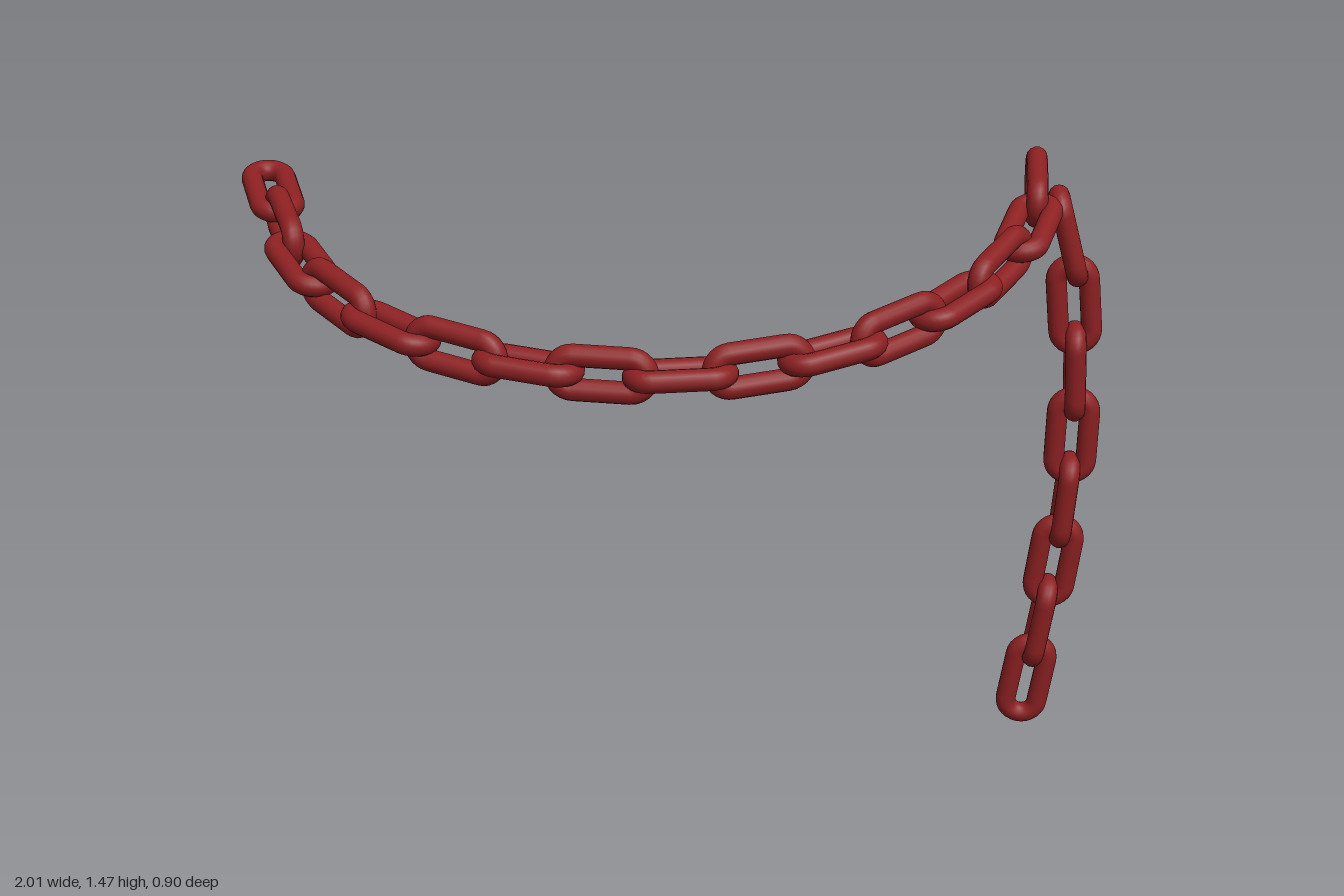
import * as THREE from 'three';

const HALF_STRAIGHT = 0.061; // half of a link's straight side
const BEND = 0.038;          // centreline radius of the rounded ends
const WIRE = 0.0245;         // wire radius

// Closed stadium outline, long axis along y, wide axis along x
class LinkCurve extends THREE.Curve {
  getPoint(t, target = new THREE.Vector3()) {
    const side = 2 * HALF_STRAIGHT, arc = Math.PI * BEND, half = side + arc;
    let d = (t % 1) * 2 * half;
    const sign = d >= half ? -1 : 1; // second half is the first turned by 180 degrees
    if (sign < 0) d -= half;
    if (d < side) return target.set(sign * BEND, sign * (d - HALF_STRAIGHT), 0);
    const a = (d - side) / BEND;
    return target.set(sign * BEND * Math.cos(a), sign * (HALF_STRAIGHT + BEND * Math.sin(a)), 0);
  }
}

// Link centres of the swept upper chain
const SWEEP = [
  [-0.93, 1.365, -0.25], [-0.875, 1.325, -0.10], [-0.81, 1.28, 0.035], [-0.71, 1.24, 0.155],
  [-0.58, 1.205, 0.25], [-0.43, 1.18, 0.32], [-0.27, 1.167, 0.366], [-0.113, 1.158, 0.388],
  [0.053, 1.158, 0.38], [0.217, 1.17, 0.35], [0.37, 1.19, 0.297], [0.51, 1.217, 0.215],
  [0.63, 1.25, 0.11], [0.73, 1.29, -0.02], [0.795, 1.34, -0.163], [0.817, 1.392, -0.315],
];

// Link centres of the hanging chain
const HANGING = [
  [0.895, 1.277, -0.317], [0.917, 1.11, -0.329], [0.928, 0.944, -0.34], [0.93, 0.78, -0.352],
  [0.922, 0.612, -0.364], [0.904, 0.449, -0.376], [0.88, 0.286, -0.387], [0.855, 0.125, -0.401],
];

// Lays links along the centres, each turned 90 degrees from the last.
// Links of the given parity are wide towards "ref", the others across it.
function buildChain(name, centres, ref, parity, geometry, material, firstDir, lastDir) {
  const chain = new THREE.Group();
  chain.name = name;
  const pts = centres.map((c) => new THREE.Vector3(...c));
  const last = pts.length - 1;
  pts.forEach((p, i) => {
    let dir = pts[Math.min(i + 1, last)].clone().sub(pts[Math.max(i - 1, 0)]);
    if (i === 0 && firstDir) dir = firstDir.clone();
    if (i === last && lastDir) dir = lastDir.clone();
    dir.normalize();
    const across = dir.clone().cross(ref).normalize();
    const wide = i % 2 === parity ? across.clone().cross(dir).normalize() : across;
    const normal = wide.clone().cross(dir);
    const link = new THREE.Mesh(geometry, material);
    link.name = 'chainLink';
    link.quaternion.setFromRotationMatrix(new THREE.Matrix4().makeBasis(wide, dir, normal));
    link.position.copy(p);
    chain.add(link);
  });
  return chain;
}

export function createModel() {
  const model = new THREE.Group();
  model.name = 'chain';
  const red = new THREE.MeshStandardMaterial({ color: 0x8c2022 });
  red.name = 'dark red';
  const link = new THREE.TubeGeometry(new LinkCurve(), 56, WIRE, 14, true);

  model.add(buildChain('sweptChain', SWEEP, new THREE.Vector3(0, 1, 0), 1, link, red,
    null, new THREE.Vector3(0.02, 0.25, -0.97)));
  model.add(buildChain('hangingChain', HANGING, new THREE.Vector3(0, 0, 1), 0, link, red,
    new THREE.Vector3(0.27, -1, -0.05), null));
  return model;
}
